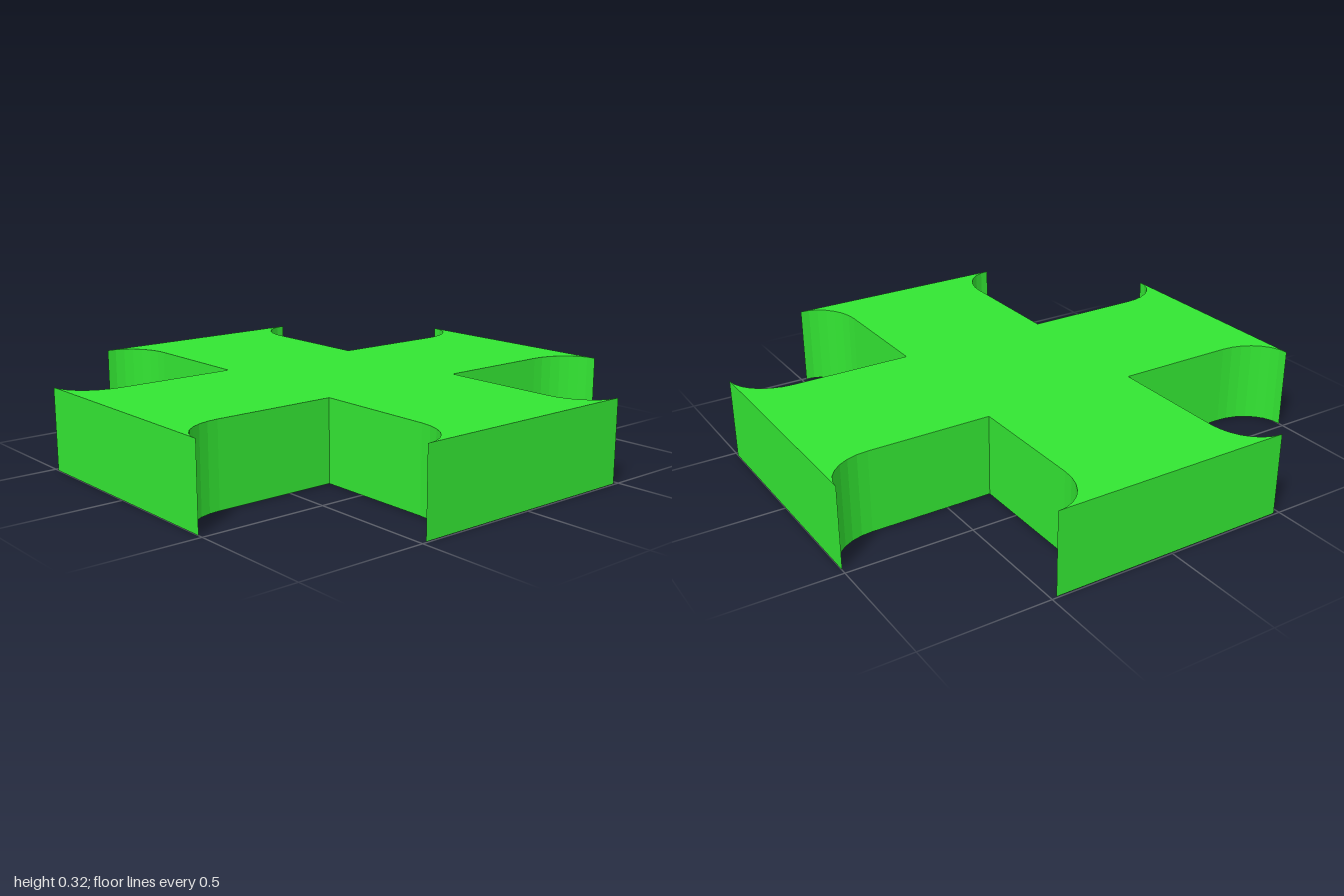
import * as THREE from 'three';

const HALF_WIDTH = 0.317, HALF_TIP = 0.479, HEIGHT = 0.325, FLARE = 0.195, STEPS = 7;

// One side of an arm: inner corner, straight edge, then a hollow curve to the flared tip
function armEdge(length) {
  const points = [[HALF_WIDTH, HALF_WIDTH]];
  for (let i = 0; i <= STEPS; i++) {
    const a = (i / STEPS) * Math.PI / 2;
    points.push([
      length - FLARE + FLARE * Math.sin(a),
      HALF_TIP - (HALF_TIP - HALF_WIDTH) * Math.cos(a),
    ]);
  }
  return points;
}

// Outline of the cross: four arms, each turned a quarter from the last
function crossShape() {
  const turns = [[1, 0], [0, 1], [-1, 0], [0, -1]];
  const outline = [];
  turns.forEach(([c, s], k) => {
    const edge = armEdge(k % 2 ? 0.994 : 1);
    const lower = edge.map(([u, v]) => [u, -v]);
    const upper = edge.slice(1).reverse(); // the next arm supplies the inner corner
    for (const [u, v] of [...lower, ...upper]) {
      outline.push(new THREE.Vector2(u * c - v * s, u * s + v * c));
    }
  });
  return new THREE.Shape(outline);
}

export function createModel() {
  const group = new THREE.Group();
  group.name = 'flaredCross';
  const green = new THREE.MeshStandardMaterial({ color: 0x33e633 });
  green.name = 'green';

  // Solid slab lying flat on the ground
  const geometry = new THREE.ExtrudeGeometry(crossShape(), { depth: HEIGHT, bevelEnabled: false });
  geometry.rotateX(-Math.PI / 2);
  const slab = new THREE.Mesh(geometry, green);
  slab.name = 'crossSlab';
  group.add(slab);
  return group;
}
